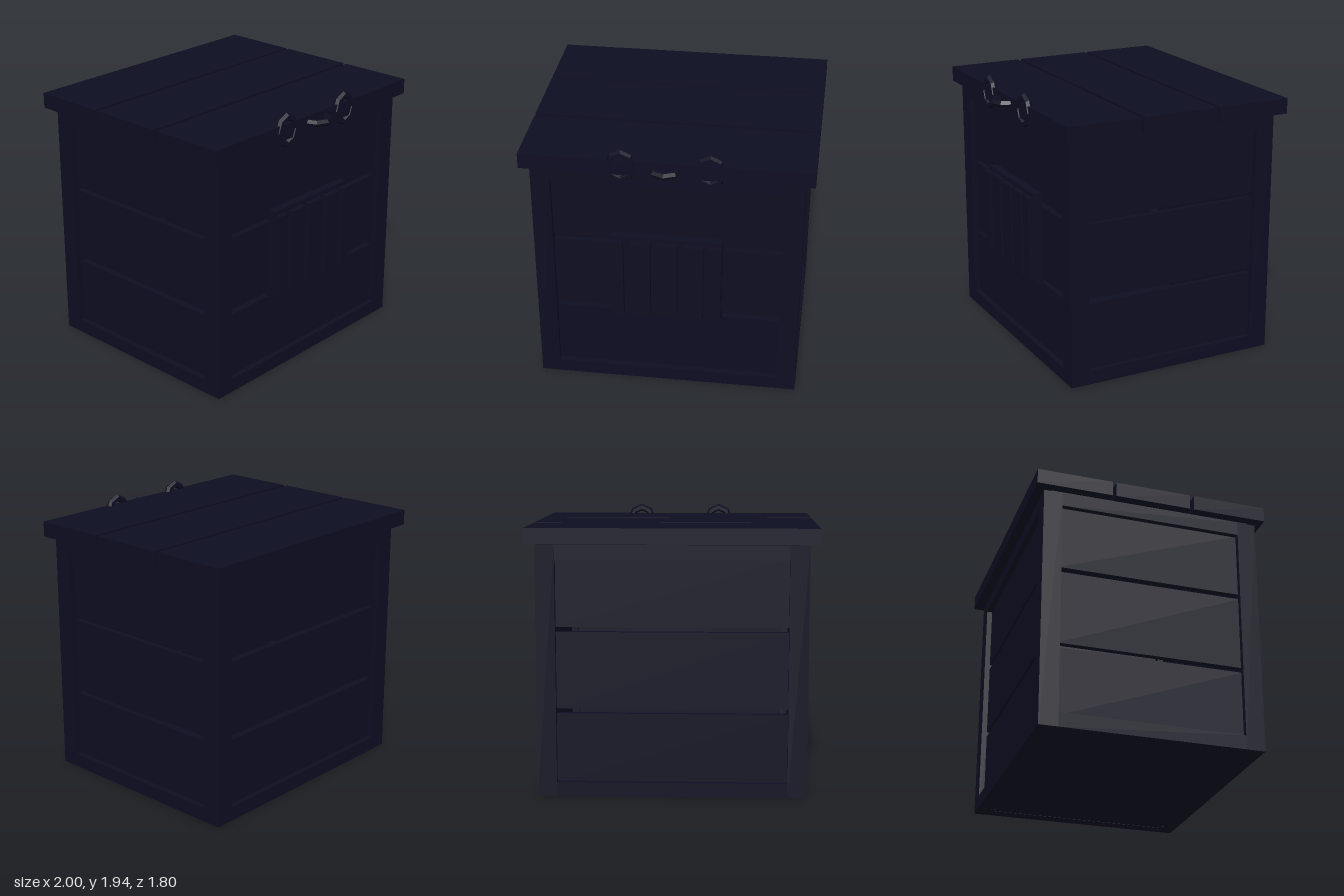
import * as THREE from 'three';

export function createModel() {
  const model = new THREE.Group();
  const navy = new THREE.MeshStandardMaterial({ color: 0x0d0d22, flatShading: true });
  navy.name = 'dark navy';

  // Box given by its limits on each axis
  function box(name, [x0, x1], [y0, y1], [z0, z1], parent = model) {
    const mesh = new THREE.Mesh(new THREE.BoxGeometry(x1 - x0, y1 - y0, z1 - z0), navy);
    mesh.position.set((x0 + x1) / 2, (y0 + y1) / 2, (z0 + z1) / 2);
    mesh.name = name;
    parent.add(mesh);
    return mesh;
  }
  function group(name) {
    const g = new THREE.Group();
    g.name = name;
    model.add(g);
    return g;
  }

  const W = 0.935, F = 0.74, B = -0.835, TOP = 1.752;
  const post = 0.135, inset = 0.04, thick = 0.045;

  // Corner posts and horizontal rails
  const frame = group('frame');
  for (const x of [[-W, -W + post], [W - post, W]])
    for (const z of [[B, B + post], [F - post, F]]) box('cornerPost', x, [0, TOP], z, frame);
  for (const y of [[0, 0.1], [1.65, TOP]]) {
    for (const z of [[B, B + 0.1], [F - 0.1, F]]) box('crossRail', [-W + post, W - post], y, z, frame);
    for (const x of [[-W, -W + 0.1], [W - 0.1, W]]) box('sideRail', x, y, [B + post, F - post], frame);
  }
  box('floor', [-W + 0.05, W - 0.05], [0.002, 0.06], [B + 0.05, F - 0.05]);

  // Inset wall planks with open gaps between them
  const walls = group('walls');
  for (const y of [[0.09, 0.58], [0.615, 1.15], [1.185, 1.66]]) {
    box('frontPlank', [-0.81, 0.81], y, [F - inset - thick, F - inset], walls);
    box('backPlank', [-0.81, 0.81], y, [B + inset, B + inset + thick], walls);
    for (const s of [-1, 1]) {
      const x = [s * (W - inset), s * (W - inset - thick)].sort((a, b) => a - b);
      box('sidePlank', x, y, [B + post - 0.01, F - post + 0.01], walls);
    }
  }

  // Lid planks on hidden battens
  const lid = group('lid');
  for (const z of [[-0.9, -0.355], [-0.33, 0.22], [0.25, 0.79]])
    box('lidPlank', [-1, 1], [1.76, 1.87], z, lid);
  for (const s of [-1, 1]) {
    box('sideBatten', s < 0 ? [-0.93, -0.82] : [0.82, 0.93], [1.74, 1.761], [-0.78, 0.68], lid);
  }
  for (const z of [[-0.78, -0.7], [0.6, 0.68]]) box('crossBatten', [-0.83, 0.83], [1.68, 1.761], z, lid);

  // Slatted plate on the front
  const plate = group('frontPlate');
  box('backing', [-0.39, 0.39], [0.58, 1.245], [0.69, 0.76], plate);
  for (const x of [[-0.385, -0.3], [-0.25, -0.11], [-0.07, 0.08], [0.12, 0.26], [0.3, 0.385]])
    box('slat', x, [0.61, 1.215], [0.75, 0.8], plate);

  // Eight-sided rings on the lid edge
  function ring(name, x, z, sx) {
    const mesh = new THREE.Mesh(new THREE.TorusGeometry(0.097, 0.027, 6, 8), navy);
    mesh.position.set(x, 1.82, z);
    mesh.scale.x = sx;
    mesh.name = name;
    model.add(mesh);
    return mesh;
  }
  for (const s of [-1, 1]) ring(s < 0 ? 'rightRing' : 'leftRing', s * 0.303, 0.773, 0.88);
  ring('middleRing', 0, 0.771, 0.95).rotation.x = Math.PI / 2;

  return model;
}
